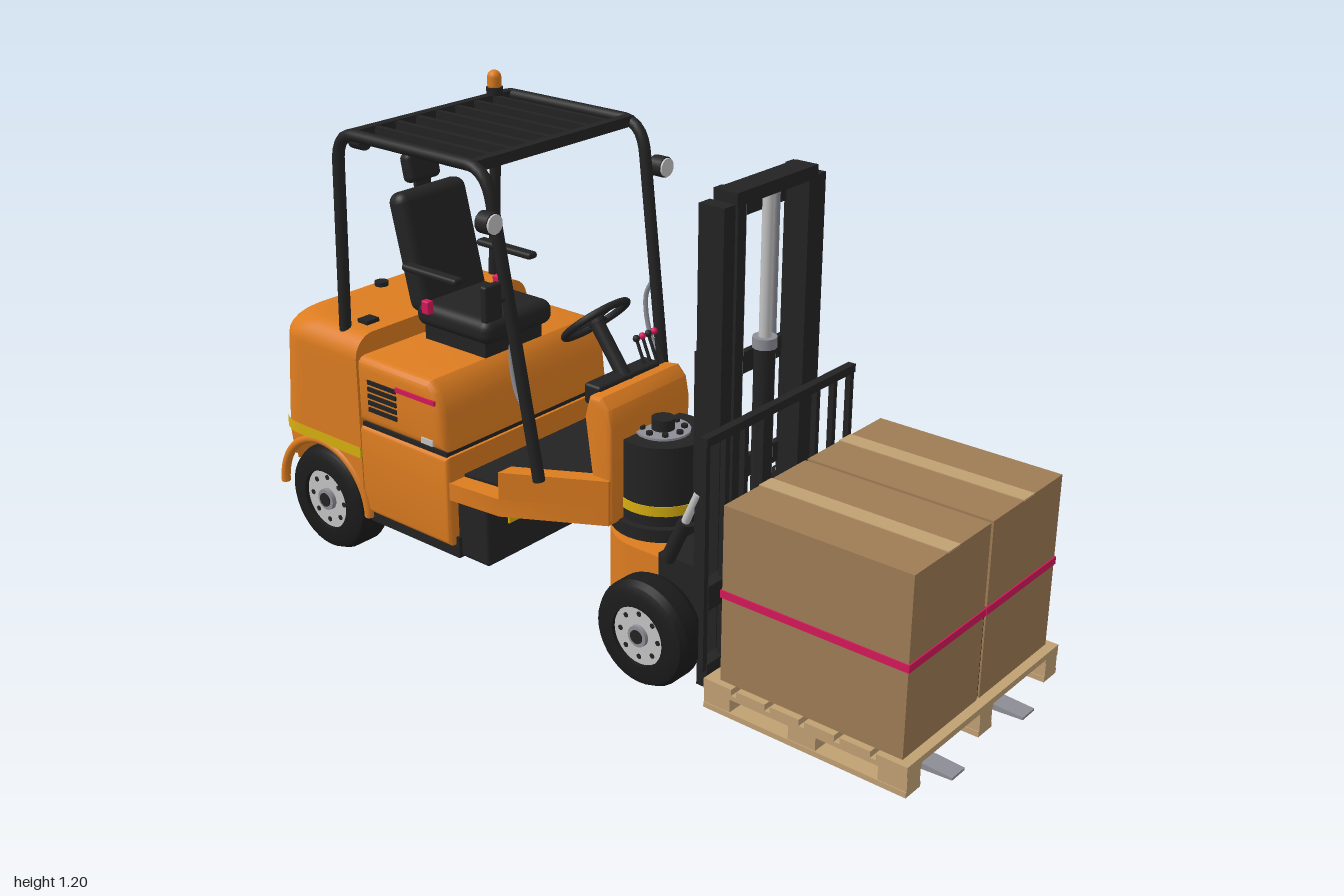
import * as THREE from 'three';
import { toCreasedNormals } from 'three/addons/utils/BufferGeometryUtils.js';
import { RoundedBoxGeometry } from 'three/addons/geometries/RoundedBoxGeometry.js';

const paint = (name, color) => Object.assign(new THREE.MeshStandardMaterial({ color }), { name });
const orange = paint('orange paint', 0xdc7c20), black = paint('black', 0x232324), rubber = paint('rubber', 0x1b1b1b);
const silver = paint('silver', 0xc4c4c4), steel = paint('steel', 0x8d8d96), card = paint('cardboard', 0x9e7c54);
const wood = paint('light wood', 0xc0a073), pink = paint('pink', 0xd4185a), yellow = paint('yellow', 0xd6ae10);
const V = (x, y, z) => new THREE.Vector3(x, y, z);
const SIDES = [-1, 1];

export function createModel() {
  const root = new THREE.Group();
  root.name = 'forklift';
  root.position.x = 0.01;

  const add = (name, geo, mat, x = 0, y = 0, z = 0, parent = root) => {
    const m = new THREE.Mesh(geo, mat);
    m.name = name;
    m.position.set(x, y, z);
    parent.add(m);
    return m;
  };
  // box given by its extents on each axis
  const box = (name, mat, [x0, x1], [y0, y1], [z0, z1], r = 0) => {
    const s = [x1 - x0, y1 - y0, z1 - z0];
    const geo = r ? new RoundedBoxGeometry(...s, 3, r) : new THREE.BoxGeometry(...s);
    return add(name, geo, mat, (x0 + x1) / 2, (y0 + y1) / 2, (z0 + z1) / 2);
  };
  const cyl = (name, mat, r, h, x, y, z, seg = 24) => add(name, new THREE.CylinderGeometry(r, r, h, seg), mat, x, y, z);
  const rod = (name, mat, a, b, r) => {
    const m = cyl(name, mat, r, a.distanceTo(b), 0, 0, 0, 14);
    m.position.copy(a).lerp(b, 0.5);
    m.quaternion.setFromUnitVectors(V(0, 1, 0), b.clone().sub(a).normalize());
    return m;
  };
  const shapeOf = pts => new THREE.Shape(pts.map(p => new THREE.Vector2(...p)));
  // side profile (z, y) extruded across x
  const prism = (name, mat, pts, half, bevel = 0.012) => {
    const geo = new THREE.ExtrudeGeometry(shapeOf(pts), { depth: 2 * (half - bevel), bevelEnabled: bevel > 0,
      bevelSize: bevel, bevelOffset: -bevel, bevelThickness: bevel, bevelSegments: 3 });
    geo.translate(0, 0, bevel - half).rotateY(-Math.PI / 2);
    return add(name, toCreasedNormals(geo, 0.6), mat);
  };
  // plan outline (x, -z) extruded upward
  const slab = (name, mat, shape, y, h) => {
    const geo = new THREE.ExtrudeGeometry(shape, { depth: h, bevelEnabled: false, curveSegments: 24 });
    geo.rotateX(-Math.PI / 2);
    return add(name, toCreasedNormals(geo, 0.6), mat, 0, y);
  };

  // counterweight: stacked rounded outlines with the wheel wells pushed in
  const rearZ = y => y > 0.3 ? -0.99 + (y - 0.3) * 0.09 : -0.97 - (y - 0.17) * 0.154;
  const outline = (y, grow = 0, inset = 0) => {
    const pts = [], w = 0.303 - inset + grow, zb = rearZ(y) + inset * 1.3 - grow, R = 0.11;
    for (let i = 0; i <= 40; i++) pts.push([w, -0.645 + (zb + R + 0.645) * i / 40]);
    for (let i = 1; i <= 10; i++) {
      const a = i / 10 * Math.PI / 2;
      pts.push([w - R + R * Math.cos(a), zb + R - R * Math.sin(a)]);
    }
    return [...pts, ...pts.map(([x, z]) => [-x, z]).reverse()];
  };
  const loft = (name, mat, rings) => {
    const pos = rings.flat(2), idx = [], n = rings[0].length;
    for (let j = 0; j + 1 < rings.length; j++) for (let i = 0; i < n; i++) {
      const a = j * n + i, b = j * n + (i + 1) % n;
      idx.push(a, b, a + n, b, b + n, a + n);
    }
    const geo = new THREE.BufferGeometry();
    geo.setAttribute('position', new THREE.Float32BufferAttribute(pos, 3));
    geo.setIndex(idx);
    return add(name, toCreasedNormals(geo, 0.7), mat);
  };
  const well = (x, y, z) => Math.hypot(z + 0.8, y - 0.145) < 0.16 ? Math.sign(x) * Math.min(Math.abs(x), 0.185) : x;
  const rings = [];
  for (let i = 0; i <= 40; i++) {
    const y = 0.17 + i * 0.01;
    rings.push(outline(y).map(([x, z]) => [well(x, y, z), y, z]));
  }
  for (let i = 1; i <= 8; i++) {
    const a = i / 8 * Math.PI / 2, y = 0.57 + 0.06 * Math.sin(a);
    rings.push(outline(y, 0, 0.06 * (1 - Math.cos(a))).map(([x, z]) => [x, y, z]));
  }
  const flat = ring => ring.map(([x, y, z]) => [0, y, z]);
  loft('counterweight', orange, [flat(rings[0]), ...rings, flat(rings.at(-1))]);
  loft('counterweight stripe', yellow, [0.308, 0.338].map(y => outline(y, 0.004).map(([x, z]) => [x, y, z])));
  for (const s of SIDES) {
    const lip = add('wheel arch', new THREE.TorusGeometry(0.163, 0.012, 8, 32, Math.PI), orange, s * 0.297, 0.145, -0.8);
    lip.rotation.y = Math.PI / 2;
  }

  // rear details
  box('rear grille', black, [-0.12, 0.12], [0.45, 0.53], [-0.988, -0.96], 0.008);
  for (let i = 0; i < 4; i++) box('grille slat', rubber, [-0.11, 0.11], [0.462 + i * 0.017, 0.468 + i * 0.017], [-0.992, -0.98]);
  for (const s of SIDES) {
    box('tail lamp housing', black, [s * 0.17 - 0.02, s * 0.17 + 0.02], [0.445, 0.535], [-0.986, -0.95], 0.008);
    box('tail lamp', pink, [s * 0.17 - 0.014, s * 0.17 + 0.014], [0.45, 0.5], [-0.992, -0.96], 0.005);
  }
  box('tow recess', black, [-0.07, 0.07], [0.21, 0.265], [-0.99, -0.96]);
  box('tow hitch', silver, [-0.018, 0.018], [0.205, 0.255], [-0.998, -0.97]);
  cyl('filler cap', black, 0.018, 0.016, 0, 0.634, -0.88);
  box('hood catch', black, [-0.225, -0.185], [0.62, 0.64], [-0.72, -0.685]);

  // engine bay and hood
  prism('engine bay', orange, [[-0.34, 0.16], [-0.34, 0.395], [-0.66, 0.395], [-0.66, 0.16]], 0.3);
  box('hood seam', black, [-0.292, 0.292], [0.39, 0.405], [-0.65, -0.348]);
  prism('hood', orange, [[-0.348, 0.402], [-0.358, 0.5], [-0.375, 0.555], [-0.4, 0.578], [-0.66, 0.578], [-0.66, 0.402]], 0.298, 0.025);
  for (const s of SIDES) {
    const plate = (name, mat, y, z) => box(name, mat, [s * 0.299 - 0.003, s * 0.299 + 0.003], y, z);
    plate('hood stripe', pink, [0.523, 0.535], [-0.51, -0.375]);
    for (let i = 0; i < 5; i++) plate('vent', black, [0.445 + i * 0.018, 0.456 + i * 0.018], [-0.61, -0.51]);
    plate('hood latch', silver, [0.415, 0.43], [-0.425, -0.385]);
  }
  box('side plate', silver, [0.298, 0.304], [0.25, 0.31], [-0.49, -0.43]);
  box('step box', black, [-0.27, 0.27], [0.125, 0.3], [-0.345, -0.24], 0.01);
  box('step marking', yellow, [-0.2, -0.06], [0.22, 0.28], [-0.241, -0.236]);
  box('underside', black, [-0.28, 0.28], [0.125, 0.18], [-0.65, -0.33]);
  box('rear axle housing', black, [-0.184, 0.184], [0.125, 0.22], [-0.92, -0.6]);

  // floor and dash
  slab('floor', orange, shapeOf([[-0.29, 0.35], [-0.15, -0.04], [0.15, -0.04], [0.28, 0.19], [0.295, 0.35], [-0.295, 0.35], [-0.28, 0.19]].slice(1)), 0.285, 0.045);
  slab('floor mat', black, shapeOf([[-0.11, 0], [0.11, 0], [0.225, 0.18], [0.245, 0.345], [-0.245, 0.345], [-0.225, 0.18]]), 0.33, 0.007);
  for (const s of SIDES) {
    const edge = [[0.15, -0.04], [0.28, 0.19], [0.235, 0.19], [0.105, -0.04]].map(([x, y]) => [s * x, y]);
    slab('floor side panel', orange, shapeOf(s > 0 ? edge : edge.reverse()), 0.33, 0.07);
  }
  prism('dash', orange, [[0.045, 0.29], [0.045, 0.53], [0.036, 0.575], [0.012, 0.6], [-0.025, 0.595], [-0.04, 0.54], [-0.02, 0.4], [-0.05, 0.33], [-0.05, 0.29]], 0.145);
  box('instrument panel', black, [-0.11, 0.11], [0.555, 0.607], [-0.07, -0.02], 0.008);
  rod('steering column', black, V(0, 0.57, -0.02), V(0, 0.71, -0.125), 0.018);
  const wheelGroup = new THREE.Group();
  wheelGroup.name = 'steering wheel';
  wheelGroup.position.set(0, 0.717, -0.128);
  wheelGroup.rotation.x = -0.72;
  root.add(wheelGroup);
  add('rim', new THREE.TorusGeometry(0.085, 0.009, 10, 32).rotateX(Math.PI / 2), black, 0, 0, 0, wheelGroup);
  add('hub', new THREE.CylinderGeometry(0.022, 0.022, 0.02, 16), black, 0, 0, 0, wheelGroup);
  for (let i = 0; i < 3; i++) {
    const a = i * Math.PI * 2 / 3 + Math.PI / 2;
    add('spoke', new THREE.BoxGeometry(0.08, 0.006, 0.012), black, 0.042 * Math.cos(a), 0, 0.042 * Math.sin(a), wheelGroup).rotation.y = -a;
  }
  for (let i = 0; i < 4; i++) {
    const x = 0.07 + i * 0.022;
    rod('lever', black, V(x, 0.59, -0.03), V(x, 0.66, -0.06), 0.004);
    add('lever knob', new THREE.SphereGeometry(0.009, 10, 8), i % 2 ? pink : black, x, 0.665, -0.062);
  }
  for (const x of [-0.05, 0.05]) box('pedal', black, [x - 0.02, x + 0.02], [0.34, 0.38], [-0.085, -0.06]).rotation.x = 0.5;

  // seat
  box('seat base', black, [-0.1, 0.1], [0.57, 0.62], [-0.61, -0.4]);
  box('seat cushion', black, [-0.12, 0.12], [0.615, 0.68], [-0.63, -0.37], 0.028);
  box('seat back', black, [-0.115, 0.115], [0.64, 0.945], [-0.69, -0.625], 0.028).rotation.x = -0.24;
  box('headrest', black, [-0.052, 0.052], [0.95, 1.025], [-0.73, -0.69], 0.015).rotation.x = -0.2;
  box('headrest stem', black, [-0.025, 0.025], [0.9, 0.97], [-0.71, -0.7]);
  for (const s of SIDES) {
    box('armrest', black, [s * 0.13 - 0.016, s * 0.13 + 0.016], [0.762, 0.78], [-0.64, -0.45], 0.008);
    box('seat buckle', pink, [s * 0.125 - 0.01, s * 0.125 + 0.01], [0.66, 0.695], [-0.585, -0.56], 0.004);
  }

  // overhead guard
  for (const s of SIDES) {
    const path = new THREE.CurvePath();
    const p = [V(s * 0.235, 0.39, -0.1), V(s * 0.263, 1.05, -0.198), V(s * 0.266, 1.128, -0.208), V(s * 0.266, 1.128, -0.27),
      V(s * 0.266, 1.128, -0.64), V(s * 0.266, 1.128, -0.7), V(s * 0.266, 1.06, -0.705), V(s * 0.262, 0.61, -0.725)];
    path.add(new THREE.LineCurve3(p[0], p[1]));
    path.add(new THREE.QuadraticBezierCurve3(p[1], p[2], p[3]));
    path.add(new THREE.LineCurve3(p[3], p[4]));
    path.add(new THREE.QuadraticBezierCurve3(p[4], p[5], p[6]));
    path.add(new THREE.LineCurve3(p[6], p[7]));
    add('guard post', new THREE.TubeGeometry(path, 90, 0.015, 10), black);
    const grab = new THREE.CatmullRomCurve3([V(s * 0.24, 0.55, -0.125), V(s * 0.24, 0.6, -0.16), V(s * 0.24, 0.7, -0.175), V(s * 0.245, 0.75, -0.155)]);
    add('grab handle', new THREE.TubeGeometry(grab, 20, 0.006, 8), steel);
    // front work lamps
    rod('lamp body', black, V(s * 0.297, 1.018, -0.195), V(s * 0.297, 1.018, -0.16), 0.026);
    rod('lamp lens', silver, V(s * 0.297, 1.018, -0.161), V(s * 0.297, 1.018, -0.155), 0.023);
    rod('lamp bracket', black, V(s * 0.26, 1.018, -0.19), V(s * 0.297, 1.018, -0.185), 0.007);
  }
  for (const z of [-0.25, -0.65]) box('guard cross bar', black, [-0.266, 0.266], [1.114, 1.14], [z - 0.012, z + 0.012]);
  for (let i = -3; i <= 3; i++) box('guard slat', black, [i * 0.066 - 0.007, i * 0.066 + 0.007], [1.115, 1.138], [-0.65, -0.25]);
  rod('rear lamp', black, V(-0.2, 1.092, -0.72), V(-0.2, 1.092, -0.68), 0.021);
  rod('rear lamp lens', silver, V(-0.2, 1.092, -0.725), V(-0.2, 1.092, -0.719), 0.018);
  cyl('beacon base', black, 0.021, 0.02, 0.2, 1.15, -0.64);
  add('beacon', new THREE.CapsuleGeometry(0.018, 0.02, 5, 16), orange, 0.2, 1.175, -0.64);
  box('mirror', black, [-0.345, -0.292], [0.8, 0.886], [-0.165, -0.145], 0.006);
  rod('mirror arm', black, V(-0.3, 0.84, -0.16), V(-0.25, 0.83, -0.17), 0.006);

  // drive turret
  const turret = new THREE.Shape();
  turret.moveTo(-0.155, -0.28);
  turret.lineTo(0.155, -0.28);
  turret.lineTo(0.155, -0.12);
  turret.absarc(0, -0.12, 0.155, 0, Math.PI);
  slab('turret body', orange, turret, 0.08, 0.18);
  cyl('turret bearing', black, 0.125, 0.035, 0, 0.275, 0.08, 32);
  cyl('drive motor', black, 0.108, 0.205, 0, 0.39, 0.08, 32);
  cyl('motor stripe', yellow, 0.11, 0.025, 0, 0.332, 0.08, 32);
  cyl('motor cover', steel, 0.066, 0.006, 0, 0.495, 0.08);
  cyl('motor cap', black, 0.028, 0.035, 0, 0.508, 0.08);
  for (let i = 0; i < 8; i++) cyl('motor bolt', black, 0.008, 0.012, 0.05 * Math.cos(i * Math.PI / 4), 0.5, 0.08 + 0.05 * Math.sin(i * Math.PI / 4), 8);
  box('mast mount', black, [-0.16, 0.16], [0.1, 0.275], [0.2, 0.34]);

  // wheels
  const wheel = (name, r, w, s, y, z) => {
    const g = new THREE.Group();
    g.name = name;
    g.position.set(s * 0.245, y, z);
    g.rotation.z = -s * Math.PI / 2;
    root.add(g);
    const h = w / 2;
    const tyre = [[0.56, -h], [0.8, -h], [0.93, -h * 0.85], [1, -h * 0.5], [1, h * 0.5], [0.93, h * 0.85], [0.8, h], [0.56, h], [0.56, -h]];
    add('tyre', toCreasedNormals(new THREE.LatheGeometry(tyre.map(([a, b]) => new THREE.Vector2(a * r, b)), 36), 0.5), rubber, 0, 0, 0, g);
    add('rim', new THREE.CylinderGeometry(0.57 * r, 0.57 * r, w * 0.8, 32), silver, 0, 0, 0, g);
    add('hub', new THREE.CylinderGeometry(0.2 * r, 0.24 * r, w, 20), steel, 0, 0, 0, g);
    add('hub cap', new THREE.CylinderGeometry(0.13 * r, 0.13 * r, w * 1.06, 16), black, 0, 0, 0, g);
    for (let i = 0; i < 8; i++) {
      const a = i * Math.PI / 4;
      add('rim hole', new THREE.CylinderGeometry(0.05 * r, 0.05 * r, w * 0.83, 10), black, 0.42 * r * Math.cos(a), 0, 0.42 * r * Math.sin(a), g);
    }
  };
  for (const s of SIDES) {
    wheel('front wheel', 0.13, 0.092, s, 0.13, 0.245);
    wheel('rear wheel', 0.142, 0.115, s, 0.142, -0.8);
  }
  for (const z of [0.245, -0.8]) rod('axle', black, V(-0.24, 0.135, z), V(0.24, 0.135, z), 0.03);

  // mast
  for (const s of SIDES) {
    const rail = (name, a, b, y, z) => box(name, black, [Math.min(s * a, s * b), Math.max(s * a, s * b)], y, z);
    rail('outer mast rail', 0.143, 0.18, [0.07, 1.135], [0.318, 0.385]);
    rail('inner mast rail', 0.112, 0.14, [0.09, 1.16], [0.325, 0.39]);
    rod('side lift cylinder', steel, V(s * 0.06, 0.2, 0.34), V(s * 0.06, 1.12, 0.34), 0.01);
    rod('tilt cylinder', black, V(s * 0.175, 0.28, 0.24), V(s * 0.175, 0.39, 0.29), 0.017);
    rod('tilt piston', silver, V(s * 0.175, 0.38, 0.285), V(s * 0.175, 0.47, 0.325), 0.01);
    rail('hose guide', 0.15, 0.17, [0.45, 0.8], [0.305, 0.32]);
  }
  box('mast top', black, [-0.143, 0.143], [1.13, 1.16], [0.33, 0.39]);
  for (const y of [1.075, 0.71, 0.45, 0.14]) box('mast cross bar', black, [-0.15, 0.15], [y, y + 0.05], [0.315, 0.33]);
  rod('lift cylinder', black, V(0, 0.1, 0.365), V(0, 0.79, 0.365), 0.024);
  rod('lift collar', steel, V(0, 0.775, 0.365), V(0, 0.8, 0.365), 0.028);
  rod('lift piston', silver, V(0, 0.79, 0.365), V(0, 1.13, 0.365), 0.014);

  // carriage, backrest and forks
  for (const [y, h] of [[0.055, 0.06], [0.25, 0.06]]) box('carriage bar', black, [-0.262, 0.262], [y, y + h], [0.395, 0.425]);
  box('carriage plate', black, [-0.11, 0.11], [0.07, 0.31], [0.385, 0.4]);
  box('backrest rail', black, [-0.275, 0.275], [0.645, 0.665], [0.405, 0.425]);
  for (const x of [0.267, 0.2, 0.133, 0.066]) for (const s of SIDES)
    box('backrest bar', black, [s * x - 0.007, s * x + 0.007], [0.1, 0.65], [0.408, 0.422]);
  for (const s of SIDES) prism('fork', steel, [[0.425, 0.02], [0.93, 0.02], [1, 0.024], [1, 0.03], [0.8, 0.042], [0.446, 0.045], [0.446, 0.3], [0.425, 0.3]], 0.025, 0).position.x = s * 0.147;

  // pallet
  for (let i = 0; i < 6; i++) box('deck board', wood, [-0.3125, 0.3125], [0.103, 0.118], [0.455 + i * 0.089, 0.53 + i * 0.089]);
  for (const x of [-0.285, 0, 0.285]) {
    box('deck runner', wood, [x - 0.0275, x + 0.0275], [0.092, 0.103], [0.455, 0.975]);
    box('bottom runner', wood, [x - 0.0275, x + 0.0275], [0.045, 0.058], [0.455, 0.975]);
    for (const z of [0.49, 0.715, 0.94]) box('pallet block', wood, [x - 0.025, x + 0.025], [0.058, 0.092], [z - 0.035, z + 0.035]);
  }

  // cartons with straps and tape
  for (const s of SIDES) {
    const c = s * 0.15;
    box('carton', card, [c - 0.145, c + 0.145], [0.118, 0.54], [0.487, 0.952]);
    box('strap', pink, [c - 0.148, c + 0.148], [0.322, 0.34], [0.484, 0.955]);
    box('tape', wood, [c - 0.022, c + 0.022], [0.538, 0.542], [0.486, 0.953]);
  }
  box('carton gap', black, [-0.004, 0.004], [0.12, 0.32], [0.492, 0.948]);
  return root;
}
